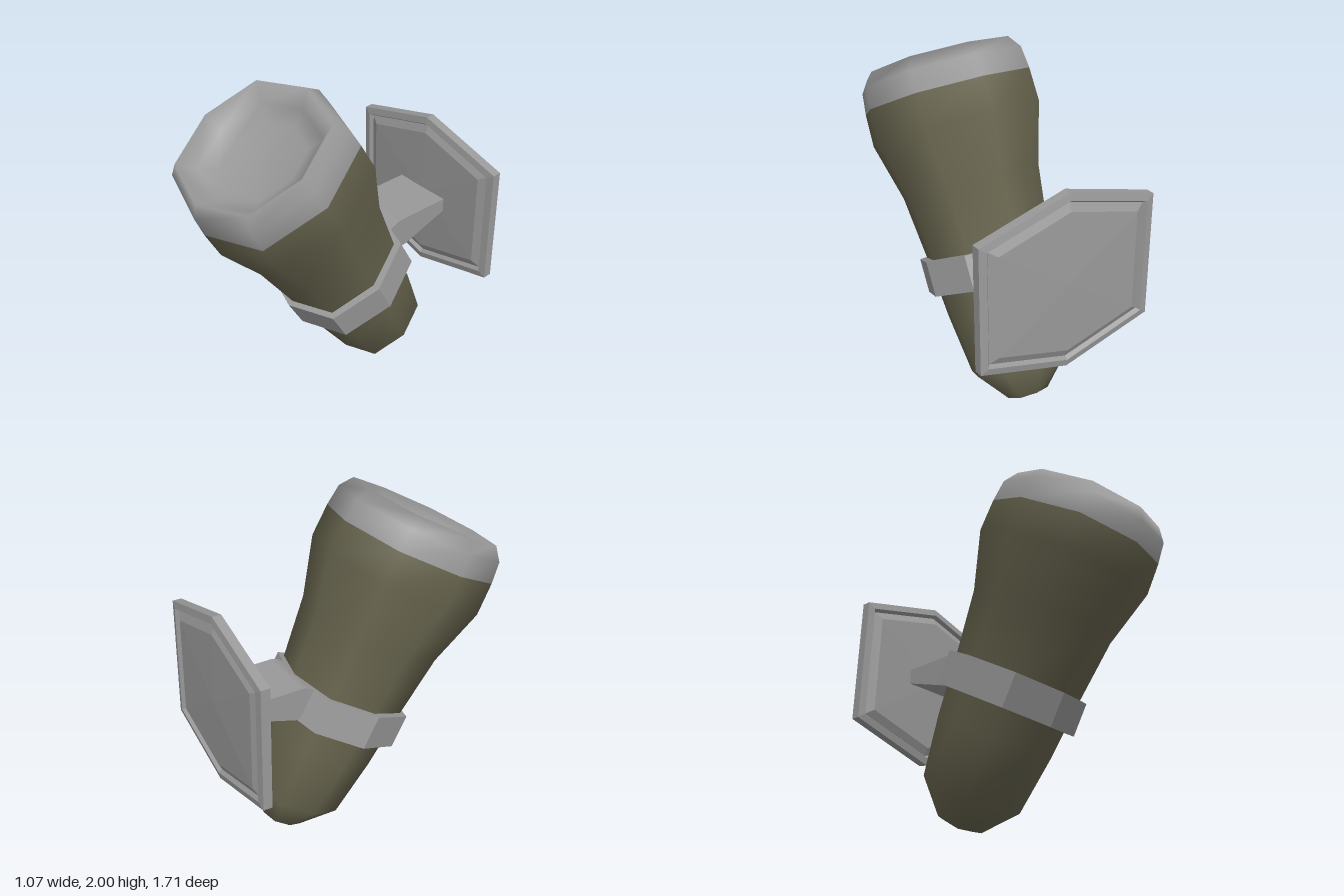
import * as THREE from 'three';

// Lofts an outline of [x, z] corners through [scale, height] steps, bottom to top.
// splits: step numbers at which the material index changes.
function loft(outline, profile, { flat = false, splits = [] } = {}) {
  const n = outline.length, pos = [], index = [];
  for (const [s, y] of profile) for (const [x, z] of outline) pos.push(x * s, y, z * s);
  let geo = new THREE.BufferGeometry();
  let start = 0, material = 0;
  for (let r = 0; r < profile.length - 1; r++) {
    if (splits.includes(r)) {
      geo.addGroup(start, index.length - start, material++);
      start = index.length;
    }
    for (let i = 0; i < n; i++) {
      const a = r * n + i, b = r * n + (i + 1) % n;
      index.push(a, b, b + n, a, b + n, a + n);
    }
  }
  geo.addGroup(start, index.length - start, material);
  geo.setAttribute('position', new THREE.Float32BufferAttribute(pos, 3));
  geo.setIndex(index);
  if (flat) geo = geo.toNonIndexed();
  geo.computeVertexNormals();
  return geo;
}

// Eight-sided section with slightly squared corners
function octagon(widthX = 1) {
  return Array.from({ length: 8 }, (_, i) => {
    const a = i * Math.PI / 4, r = i % 2 ? 1.07 : 1;
    return [Math.sin(a) * r * widthX, Math.cos(a) * r];
  });
}

export function createModel() {
  const wood = new THREE.MeshStandardMaterial({ color: 0x65624c });
  wood.name = 'olive wood';
  const metal = new THREE.MeshStandardMaterial({ color: 0x999999 });
  metal.name = 'grey metal';

  const model = new THREE.Group();
  model.name = 'wallTorch';
  const add = (parent, name, geometry, material) => {
    const mesh = new THREE.Mesh(geometry, material);
    mesh.name = name;
    parent.add(mesh);
    return mesh;
  };

  // Leaning torch
  const torch = new THREE.Group();
  torch.name = 'torch';
  torch.position.set(0, 0.215, -0.3975);
  torch.rotation.x = THREE.MathUtils.degToRad(29.4);
  model.add(torch);

  // Tapered handle, rounded rim and shallow cup in one smooth skin
  const body = [
    [0, -0.205], [0.123, -0.18], [0.273, 0], [0.32, 0.35], [0.35, 0.7],
    [0.392, 1.085], [0.482, 1.425], [0.477, 1.615],
    [0.463, 1.74], [0.41, 1.815], [0.33, 1.73], [0.24, 1.685], [0, 1.68],
  ];
  add(torch, 'handleAndCup', loft(octagon(), body, { splits: [7] }), [wood, metal]);

  // Holding band
  const band = [[0.31, 0.515], [0.385, 0.515], [0.385, 0.715], [0.31, 0.715]];
  add(torch, 'band', loft(octagon(1.03), band, { flat: true }), metal);

  // Wedge arm between band and wall plate, drawn as (-z, y)
  const side = new THREE.Shape([
    [0.3, 0.98], [0.37, 1.02], [0.4, 1.03], [0.79, 1.03], [0.79, 0.95], [0.45, 0.84], [0.36, 0.85],
  ].map(([x, y]) => new THREE.Vector2(x, y)));
  const armGeo = new THREE.ExtrudeGeometry(side, { depth: 0.36, bevelEnabled: false });
  armGeo.translate(0, 0, -0.18).rotateY(Math.PI / 2);
  add(model, 'arm', armGeo, metal);

  // Six-sided wall plate: raised border, groove and domed panel on both faces
  const hexagon = [[0, 0.515], [0.535, 0.365], [0.535, -0.365], [0, -0.515], [-0.535, -0.365], [-0.535, 0.365]];
  const face = [[1, 0.026], [0.92, 0.034], [0.89, 0.012], [0.8, 0.034], [0, 0.045]];
  const plate = [...face.map(([s, y]) => [s, -y]).reverse(), ...face];
  const plateGeo = loft(hexagon, plate, { flat: true });
  plateGeo.rotateX(Math.PI / 2);
  const wallPlate = add(model, 'wallPlate', plateGeo, metal);
  wallPlate.position.set(0, 0.995, -0.805);
  wallPlate.rotation.x = 0.03;

  return model;
}
